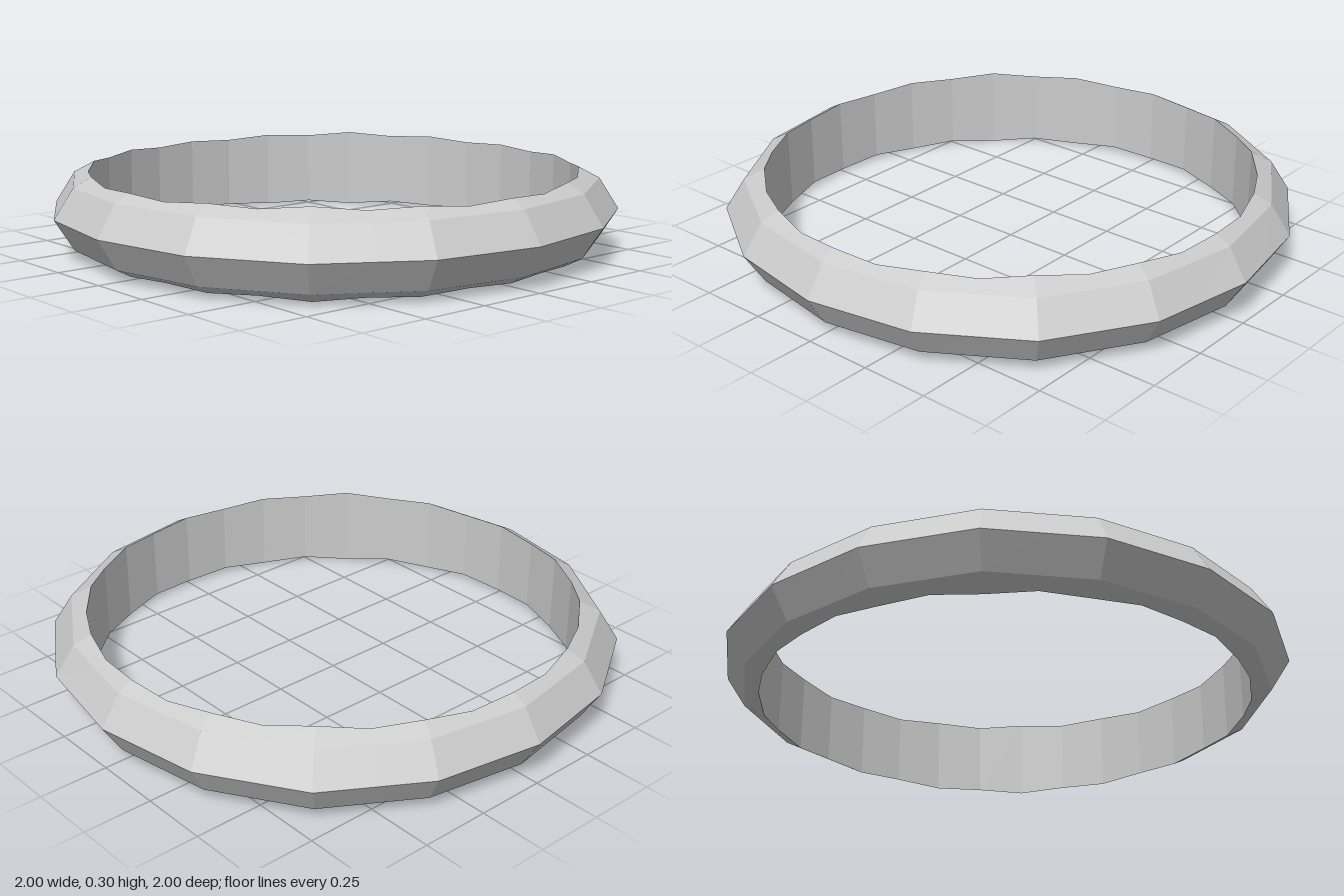
import * as THREE from 'three';

const SIDES = 16;        // flat facets around the outside
const STEPS = SIDES * 2; // the bore is twice as fine
const BORE = 0.875;      // bore radius
const MID_Y = 0.15;      // height of the outer ridge

// Ridge radius at each of the 16 corners, slightly fuller on the diagonals
const ridge = [1, 1.008, 1.02, 1.008];

// Point on the 16-sided outline, inset by a distance; odd steps fall mid-facet
function outline(step, inset) {
  const corner = (k) => {
    const a = (k / SIDES) * Math.PI * 2;
    const r = ridge[k % 4] - inset;
    return new THREE.Vector2(Math.sin(a) * r, Math.cos(a) * r);
  };
  const k = Math.floor(step / 2);
  return step % 2 ? corner(k).lerp(corner(k + 1), 0.5) : corner(k);
}

// Cross-section: outer ridge, upper bevel, bore top, bore bottom, lower bevel
function section(step) {
  const outer = outline(step, 0);
  const bevel = outline(step, 0.07);
  const bore = bevel.clone().setLength(BORE);
  const bevelH = 0.11;
  const boreH = bevelH + (bevel.length() - BORE) * 0.53;
  const at = (p, h) => [p.x, MID_Y + h, p.y];
  return [at(outer, 0), at(bevel, bevelH), at(bore, boreH), at(bore, -boreH), at(bevel, -bevelH)];
}

function ringGeometry() {
  const positions = [];
  const index = [];
  const n = 5;
  for (let i = 0; i < STEPS; i++) {
    section(i).forEach((p) => positions.push(...p));
    const next = (i + 1) % STEPS;
    for (let j = 0; j < n; j++) {
      const k = (j + 1) % n;
      const a = i * n + j, b = next * n + j, c = next * n + k, d = i * n + k;
      index.push(a, b, c, a, c, d);
    }
  }
  const geometry = new THREE.BufferGeometry();
  geometry.setAttribute('position', new THREE.Float32BufferAttribute(positions, 3));
  geometry.setIndex(index);
  const flat = geometry.toNonIndexed();
  flat.computeVertexNormals();
  return flat;
}

export function createModel() {
  const group = new THREE.Group();
  group.name = 'ring';
  const material = new THREE.MeshStandardMaterial({ color: 0xcccccc, flatShading: true });
  const band = new THREE.Mesh(ringGeometry(), material);
  band.name = 'band';
  group.add(band);
  return group;
}
